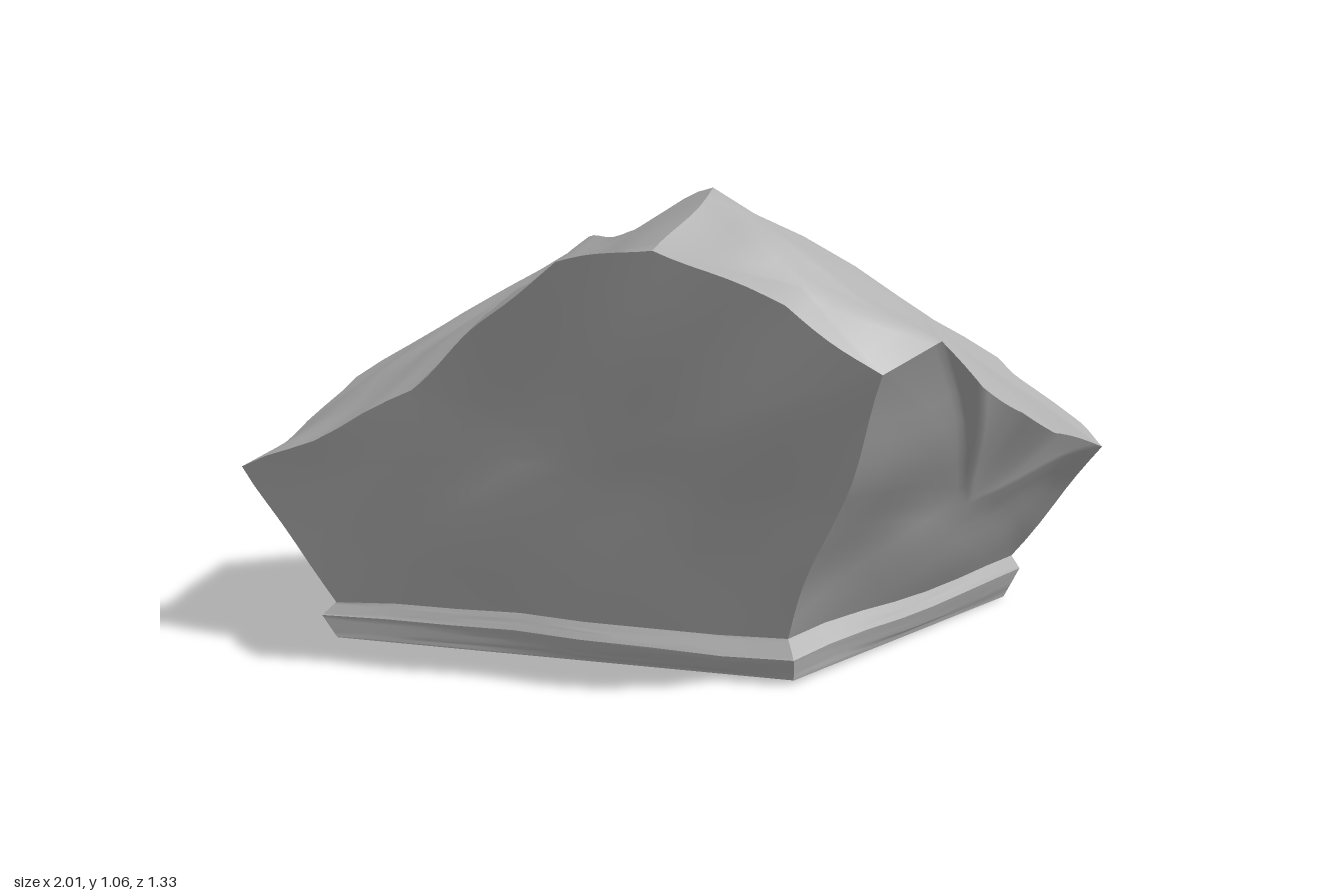
import * as THREE from 'three';
import { mergeVertices } from 'three/addons/utils/BufferGeometryUtils.js';

const STEPS = 7; // subdivisions per facet edge

// Corner points of the boulder
const P = {
  // neck just above the foot
  A: [-0.8, 0.1, 0.2], B: [0.26, 0.1, 0.4], C: [0.81, 0.1, -0.32], D: [-0.6, 0.1, -0.6],
  // front rim, left to right
  L: [-1, 0.41, 0.19], f1: [-0.57, 0.63, 0.35], f2: [-0.4, 0.76, 0.45], f3: [-0.2, 0.91, 0.55],
  f4: [-0.01, 0.95, 0.6], f5: [0.25, 0.86, 0.645], P1: [0.45, 0.72, 0.675], Bm: [0.35, 0.4, 0.51],
  // right rim, front to back
  Q: [0.56, 0.76, 0.58], r1: [0.65, 0.65, 0.42], r2: [0.75, 0.58, 0.2], r3: [0.87, 0.48, 0],
  R2: [1.01, 0.42, -0.16], R3: [0.93, 0.47, -0.34],
  // back rim
  E: [0.78, 0.59, -0.39], b1: [0.4, 0.63, -0.46], K: [-0.07, 0.68, -0.57],
  n: [-0.42, 0.38, -0.61], o: [-0.57, 0.24, -0.67],
  // crown ridge and rear left slope
  T: [0.09, 1.075, 0.4], t1: [-0.1, 0.96, 0.08], t2: [-0.26, 0.92, -0.2],
  H: [-0.33, 0.88, -0.32], J: [-0.18, 0.8, -0.47], G: [-0.86, 0.53, -0.28], m: [-0.72, 0.32, -0.5],
  // foot: outer ledge and underside
  oA: [-0.83, 0.07, 0.21], oB: [0.27, 0.06, 0.43], oC: [0.83, 0.07, -0.31], oD: [-0.6, 0.06, -0.63],
  uA: [-0.79, 0.015, 0.22], uB: [0.27, 0.01, 0.41], uC: [0.79, 0, -0.29], uD: [-0.56, 0.01, -0.54],
  // middles of the broad, slightly bent facets
  rightMid: [0.67, 0.34, 0.1], topMid: [0.51, 0.79, 0.2], browMid: [0.29, 0.89, 0.57],
};

// Facets as polygons, counter-clockwise from outside; polygons of one facet blend smoothly.
// A name after @ sets the polygon's middle.
const FACETS = {
  frontFace: ['A B Bm P1 f5 f4 f3 f2 f1 L'],
  rightFace: ['B C R2 r3 r2 r1 Q P1 Bm @rightMid', 'C R3 R2'],
  backFace: ['C D o n K b1 E R3'],
  leftFace: ['D A L G m'],
  rearLeftSlope: ['m G H J K n o', 'D m o'],
  leftTop: ['L f1 f2 f3 f4 T t1 t2 H G'],
  crown: ['T f4 f5 P1 Q @browMid', 'T Q r1 r2 r3 R2 R3 E @topMid', 'T E b1 K J H t2 t1'],
  underside: ['uD uC uB uA'],
};
['A', 'B', 'C', 'D'].forEach((a, i, all) => {
  const b = all[(i + 1) % 4];
  FACETS['footLedge' + (i + 1)] = [`o${a} o${b} ${b} ${a}`];
  FACETS['footSide' + (i + 1)] = [`u${a} u${b} o${b} o${a}`];
});

// Gentle weathering, the same for any shared point
function weather(v) {
  const { x, y, z } = v;
  const k = 0.008 * THREE.MathUtils.smoothstep(y, 0, 0.3) + (y > 0.02 ? 0.003 : 0);
  v.x += k * (Math.sin(9 * y + 5 * z + 1) + 0.5 * Math.sin(19 * z - 13 * y));
  v.y += k * (Math.sin(8 * x - 6 * z) + 0.5 * Math.sin(17 * x + 15 * z + 2));
  v.z += k * (Math.sin(7 * x + 8 * y + 2) + 0.5 * Math.sin(18 * x - 14 * y));
  return v;
}

// Middle of a polygon, weighted by edge length
function middle(pts) {
  const mid = new THREE.Vector3();
  let total = 0;
  pts.forEach((p, i) => {
    const q = pts[(i + 1) % pts.length], len = p.distanceTo(q);
    mid.addScaledVector(p, len / 2).addScaledVector(q, len / 2);
    total += len;
  });
  return mid.divideScalar(total);
}

// Fan of subdivided triangles around the polygon's middle
function addPolygon(out, text) {
  const [corners, midName] = text.split(' @');
  const pts = corners.split(' ').map((name) => new THREE.Vector3(...P[name]));
  const mid = midName ? new THREE.Vector3(...P[midName]) : middle(pts);
  pts.forEach((p, i) => {
    const q = pts[(i + 1) % pts.length];
    const at = (r, c) => {
      const v = new THREE.Vector3()
        .addScaledVector(mid, 1 - r / STEPS)
        .addScaledVector(p, (r - c) / STEPS)
        .addScaledVector(q, c / STEPS);
      return weather(v).toArray();
    };
    for (let r = 0; r < STEPS; r++) {
      for (let c = 0; c <= r; c++) {
        out.push(...at(r, c), ...at(r + 1, c), ...at(r + 1, c + 1));
        if (c < r) out.push(...at(r, c), ...at(r + 1, c + 1), ...at(r, c + 1));
      }
    }
  });
}

// One facet: smooth inside, sharp at its rim
function facetGeometry(polygons) {
  const out = [];
  polygons.forEach((text) => addPolygon(out, text));
  const soup = new THREE.BufferGeometry();
  soup.setAttribute('position', new THREE.Float32BufferAttribute(out, 3));
  const geo = mergeVertices(soup, 1e-4);
  geo.computeVertexNormals();
  return geo;
}

export function createModel() {
  const stone = new THREE.MeshStandardMaterial({ color: 0xb2b2b2 });
  stone.name = 'grey stone';
  const boulder = new THREE.Group();
  boulder.name = 'boulder';
  for (const [name, polygons] of Object.entries(FACETS)) {
    const mesh = new THREE.Mesh(facetGeometry(polygons), stone);
    mesh.name = name;
    boulder.add(mesh);
  }
  return boulder;
}
